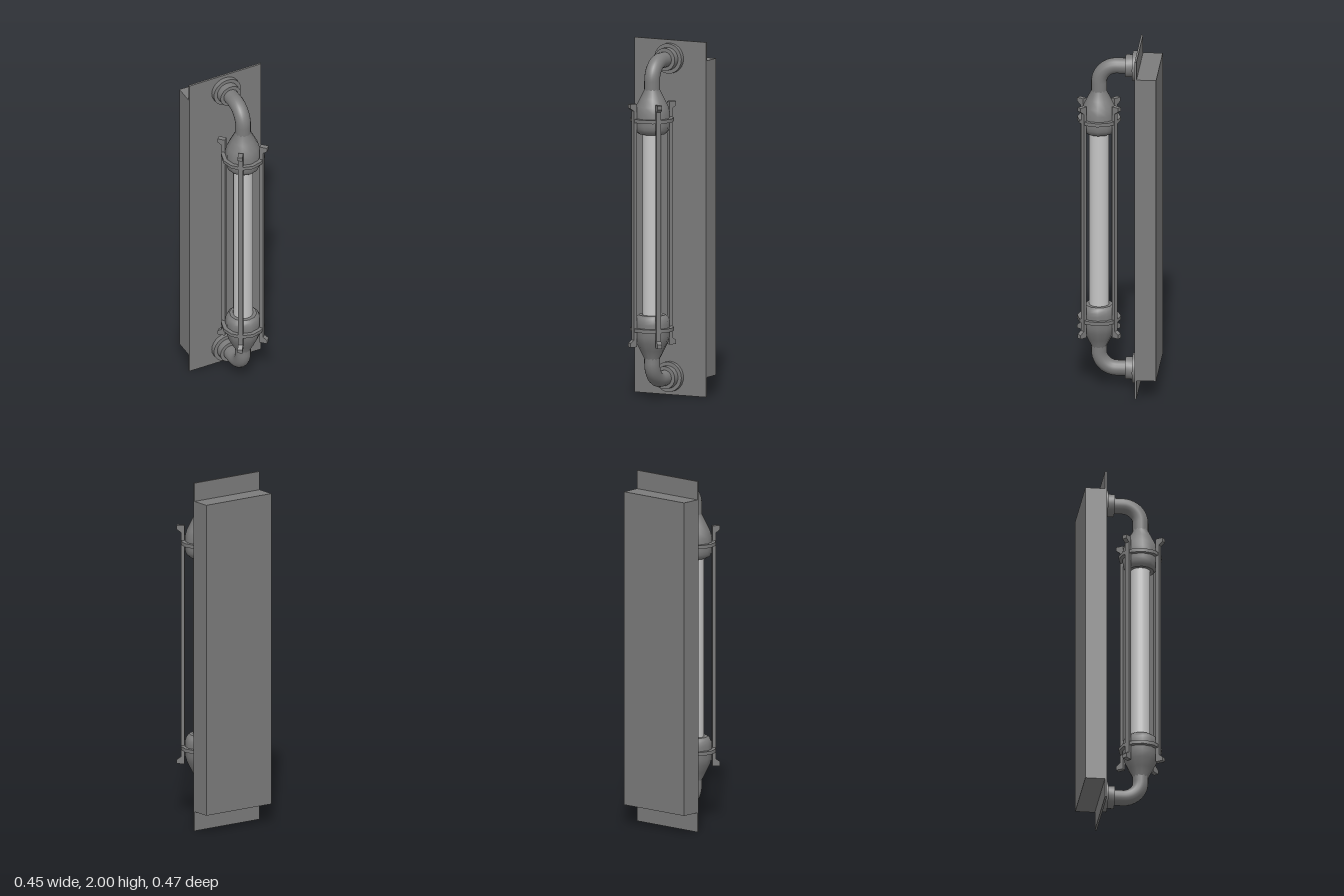
import * as THREE from 'three';
import { toCreasedNormals } from 'three/addons/utils/BufferGeometryUtils.js';

const AXIS_Z = 0.105; // depth of the lamp's upright axis

export function createModel() {
  const metal = new THREE.MeshStandardMaterial({ color: 0x7c7c7c });
  metal.name = 'grey metal';
  const glass = new THREE.MeshStandardMaterial({ color: 0xc6c6c6 });
  glass.name = 'pale glass';

  const model = new THREE.Group();
  model.name = 'wallLamp';
  const add = (name, geometry, material, x = 0, y = 0, z = 0, parent = model) => {
    const mesh = new THREE.Mesh(geometry, material);
    mesh.name = name;
    mesh.position.set(x, y, z);
    parent.add(mesh);
    return mesh;
  };
  const lathe = (points, sides) => toCreasedNormals(
    new THREE.LatheGeometry(points.map(([r, y]) => new THREE.Vector2(r, y)), sides), 0.65);

  // Wall plate and the shorter housing behind it
  add('wallPlate', new THREE.BoxGeometry(0.45, 2, 0.011), metal, 0, 1, -0.1175);
  add('wallHousing', new THREE.BoxGeometry(0.45, 1.785, 0.11), metal, 0, 1.0025, -0.178);

  // Glass tube
  add('glassTube', new THREE.CylinderGeometry(0.055, 0.055, 1.06, 24), glass, 0, 0.99, AXIS_Z);

  // Bent pipe from the wall to the cap
  const path = new THREE.CurvePath();
  const bend = 0.1, pipeY = 0.897;
  const v = (y, z) => new THREE.Vector3(0, y, z);
  path.add(new THREE.LineCurve3(v(0.72, AXIS_Z), v(pipeY - bend, AXIS_Z)));
  const k = bend * 0.45;
  path.add(new THREE.CubicBezierCurve3(v(pipeY - bend, AXIS_Z), v(pipeY - k, AXIS_Z),
    v(pipeY, AXIS_Z - k), v(pipeY, AXIS_Z - bend)));
  path.add(new THREE.LineCurve3(v(pipeY, AXIS_Z - bend), v(pipeY, -0.1)));
  const pipe = new THREE.TubeGeometry(path, 36, 0.044, 16);

  // Stepped flange, turned about the pipe's axis
  const flange = lathe([[0, 0.067], [0.064, 0.067], [0.064, 0.027], [0.085, 0.027], [0.085, 0], [0, 0]]
    .reverse(), 24).rotateX(Math.PI / 2);

  // Cap with a rounded mouth, and the ring around it
  const cap = lathe([[0, 0.51], [0.076, 0.51], [0.09, 0.522], [0.098, 0.54], [0.1, 0.56],
    [0.1, 0.63], [0.09, 0.665], [0.068, 0.71], [0.045, 0.755], [0.04, 0.78]], 12);
  const ring = lathe([[0.095, 0.58], [0.122, 0.58], [0.122, 0.6], [0.095, 0.6]], 12);

  // Same fittings at the top and, turned over, at the bottom
  for (const end of ['upper', 'lower']) {
    const fitting = new THREE.Group();
    fitting.name = end + 'Fitting';
    const low = end === 'lower';
    const capShift = low ? 0.02 : 0; // measured along the fitting's own up axis
    fitting.position.y = 1;
    add('pipe', pipe, metal, 0, 0, 0, fitting);
    add('wallFlange', flange, metal, 0, pipeY, -0.112, fitting);
    add('cap', cap, metal, 0, capShift - 0.01, AXIS_Z, fitting);
    add('capRing', ring, metal, 0, capShift - 0.01, AXIS_Z, fitting);
    if (low) fitting.scale.y = -1;
    model.add(fitting);
  }

  // Guard bars with outward hooked ends
  const profile = new THREE.Shape([[0.102, 0.305], [0.145, 0.305], [0.145, 0.328], [0.122, 0.345],
    [0.122, 1.635], [0.145, 1.652], [0.145, 1.675], [0.102, 1.675]].map(([r, y]) => new THREE.Vector2(r, y)));
  const bar = new THREE.ExtrudeGeometry(profile, { depth: 0.027, bevelEnabled: false }).translate(0, 0, -0.0135);
  [45, 124, 225, 304].forEach((angle, i) => {
    const mesh = add('guardBar' + (i + 1), bar, metal, 0, 0, AXIS_Z);
    mesh.rotation.y = -THREE.MathUtils.degToRad(angle);
  });

  return model;
}
